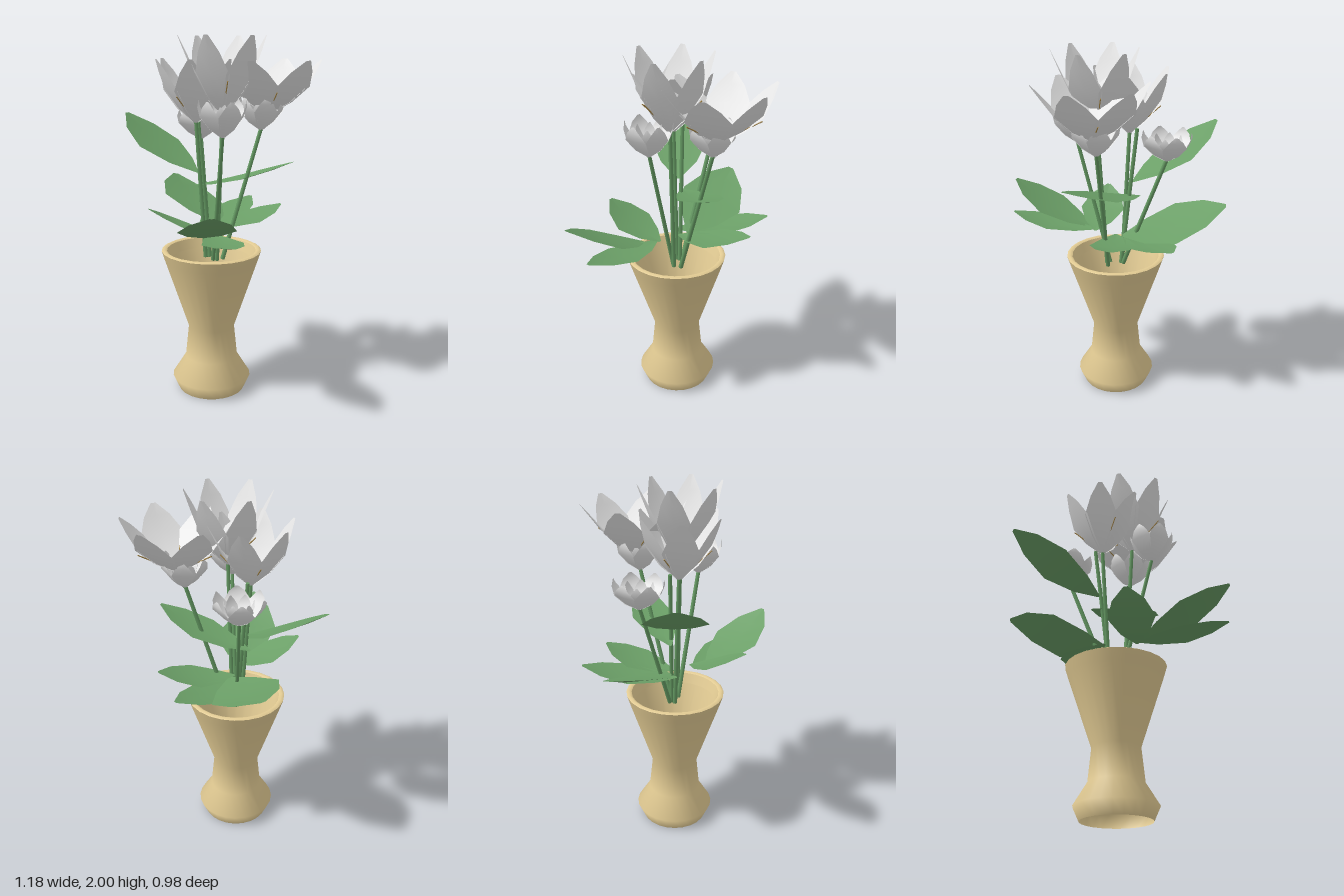
import * as THREE from 'three';

const mat = (name, color, side = THREE.DoubleSide) => {
  const m = new THREE.MeshStandardMaterial({ color, side });
  m.name = name;
  return m;
};

// Smooth sheet from rows of points, all rows the same length
function sheet(rows) {
  const n = rows[0].length, pos = [], idx = [];
  rows.forEach(row => row.forEach(p => pos.push(p.x, p.y, p.z)));
  for (let i = 0; i < rows.length - 1; i++) {
    for (let j = 0; j < n - 1; j++) {
      const a = i * n + j, b = a + n;
      idx.push(a, a + 1, b, a + 1, b + 1, b);
    }
  }
  const g = new THREE.BufferGeometry();
  g.setAttribute('position', new THREE.Float32BufferAttribute(pos, 3));
  g.setIndex(idx);
  g.computeVertexNormals();
  return g;
}

// Petal cross-sections: distance out, height, half width (relative)
const PETAL = [[0.04, 0, 0.05], [0.37, 0.22, 0.25], [0.66, 0.52, 0.41], [0.86, 0.8, 0.25], [1, 1, 0.05]];
const CUP = [[0.06, 0, 0.06], [0.5, 0.24, 0.32], [0.88, 0.58, 0.5], [1, 0.82, 0.3], [0.98, 1, 0.05]];

function petal(profile, R, h) {
  return sheet(profile.map(([r, y, w]) => [-1, 0, 1].map(s =>
    new THREE.Vector3(R * (r - Math.abs(s) * w * 0.08), h * y, -s * R * w))));
}

// Leaf cross-sections: position along the blade, half width (relative)
const LEAF = [[0, 0.06], [0.22, 0.6], [0.52, 1], [0.8, 0.68], [1, 0.08]];

// Roll lifts one edge of the blade and lowers the other
function leaf(base, tip, width, roll = 0) {
  const a = new THREE.Vector3(...base), b = new THREE.Vector3(...tip);
  const side = b.clone().sub(a).cross(new THREE.Vector3(0, 1, 0)).normalize();
  return sheet(LEAF.map(([t, w]) => [1, 0, -1].map(s => {
    const p = a.clone().lerp(b, t).addScaledVector(side, s * w * width);
    p.y += -0.03 * Math.sin(Math.PI * t) + Math.abs(s) * w * 0.015 + s * w * roll;
    return p;
  })));
}

// Straight rod between two points
function rod(a, b, r0, r1, material, name) {
  const from = new THREE.Vector3(...a), to = new THREE.Vector3(...b);
  const d = to.clone().sub(from);
  const m = new THREE.Mesh(new THREE.CylinderGeometry(r1, r0, d.length(), 6), material);
  m.position.copy(from).addScaledVector(d, 0.5);
  m.quaternion.setFromUnitVectors(new THREE.Vector3(0, 1, 0), d.normalize());
  m.name = name;
  return m;
}

export function createModel() {
  const model = new THREE.Group();
  model.name = 'flowerVase';
  const clay = mat('clay', 0xe2cb93);
  const white = mat('petalWhite', 0xe6e6e6);
  const green = mat('leafGreen', 0x6b9f67);
  const stemGreen = mat('stemGreen', 0x649962, THREE.FrontSide);
  const gold = mat('stamenGold', 0xa58545, THREE.FrontSide);

  // Vase: outer wall, flat rim and inner lip
  const vase = new THREE.Group();
  vase.name = 'vase';
  vase.position.set(0.02, 0, 0.04);
  const lathe = (pts, name) => {
    const g = new THREE.LatheGeometry(pts.map(p => new THREE.Vector2(...p)), 24);
    const m = new THREE.Mesh(g, clay);
    m.name = name;
    vase.add(m);
  };
  lathe([[0.19, 0], [0.224, 0.075], [0.15, 0.195], [0.131, 0.38], [0.262, 0.775], [0.28, 0.832]], 'vaseWall');
  lathe([[0.28, 0.832], [0.265, 0.84], [0.25, 0.832]], 'vaseRim');
  lathe([[0.25, 0.832], [0.23, 0.775]], 'vaseLip');
  model.add(vase);

  // Flowers: base point, radius, height, turn, stem foot; open ones have stamens
  const flowers = [
    { at: [0.175, 1.59, -0.23], R: 0.3, h: 0.285, turn: 0, open: true },
    { at: [0.12, 1.6, 0.04], R: 0.235, h: 0.4, turn: 0, foot: [0.07, 0.78, 0.04], open: true },
    { at: [-0.065, 1.54, 0.08], R: 0.232, h: 0.34, turn: 0.75, foot: [-0.02, 0.78, 0.05], open: true },
    { at: [0.22, 1.49, 0.12], R: 0.127, h: 0.19, turn: 0.3, foot: [0.05, 0.78, 0.05] },
    { at: [-0.24, 1.42, -0.085], R: 0.135, h: 0.16, turn: 0.4, foot: [-0.02, 0.78, 0.02] },
    { at: [0.155, 1.5, -0.2], R: 0.125, h: 0.18, turn: 0.5, foot: [0.07, 0.78, 0.0] },
  ];
  for (const f of flowers) {
    const flower = new THREE.Group();
    flower.name = f.open ? 'largeFlower' : 'smallFlower';
    flower.position.set(...f.at);
    const ring = (geometry, turn) => {
      for (let i = 0; i < 6; i++) {
        const p = new THREE.Mesh(geometry, white);
        p.name = 'petal';
        p.rotation.y = -turn - i * Math.PI / 3;
        if (i % 2) p.scale.set(0.97, 1, 0.97);
        flower.add(p);
      }
    };
    if (f.open) {
      // Stamens run just below the seams between petals
      ring(petal(PETAL, f.R, f.h), f.turn);
      for (let i = 0; i < 3; i++) {
        const a = f.turn + Math.PI * (1 / 6 + i * 2 / 3);
        const tip = [Math.cos(a) * f.R * 0.72, f.h * 0.44, Math.sin(a) * f.R * 0.72];
        flower.add(rod([0, 0, 0], tip, 0.003, 0.003, gold, 'stamen'));
      }
    } else {
      // Small flowers hold a second, tighter ring
      ring(petal(CUP, f.R, f.h), f.turn);
      ring(petal(CUP, f.R * 0.58, f.h * 0.85), f.turn + 0.5);
    }
    model.add(flower);
    if (f.foot) model.add(rod(f.foot, [f.at[0], f.at[1] + 0.01, f.at[2]], 0.013, 0.011, stemGreen, 'stem'));
  }
  // Stem tip joining the rear large flower to the small one below it
  model.add(rod([0.155, 1.5, -0.2], [0.175, 1.595, -0.23], 0.011, 0.009, stemGreen, 'stem'));
  // Extra stem behind the left flower
  model.add(rod([-0.01, 0.78, 0.03], [-0.1, 1.57, 0.04], 0.013, 0.011, stemGreen, 'stem'));

  // Leaves: base, tip, half width, roll
  const leaves = [
    [[0.14, 0.95, 0.19], [0.56, 1.18, 0.45], 0.15],
    [[0.13, 0.96, 0.1], [0.0, 1.12, 0.44], 0.13],
    [[0.12, 0.96, 0.12], [0.585, 1.02, 0.33], 0.11],
    [[-0.08, 1.26, 0.06], [-0.59, 1.56, 0.2], 0.17],
    [[-0.01, 0.97, -0.02], [-0.57, 1.16, -0.13], 0.185, -0.045],
    [[-0.05, 0.96, 0.07], [-0.2, 1.04, -0.435], 0.13],
    [[0.02, 0.96, 0.03], [0.11, 1.05, -0.4], 0.13],
    [[-0.12, 1.18, 0.05], [0.34, 1.34, -0.27], 0.12],
  ];
  for (const [a, b, w, roll] of leaves) {
    const m = new THREE.Mesh(leaf(a, b, w, roll), green);
    m.name = 'leaf';
    model.add(m);
  }
  return model;
}
